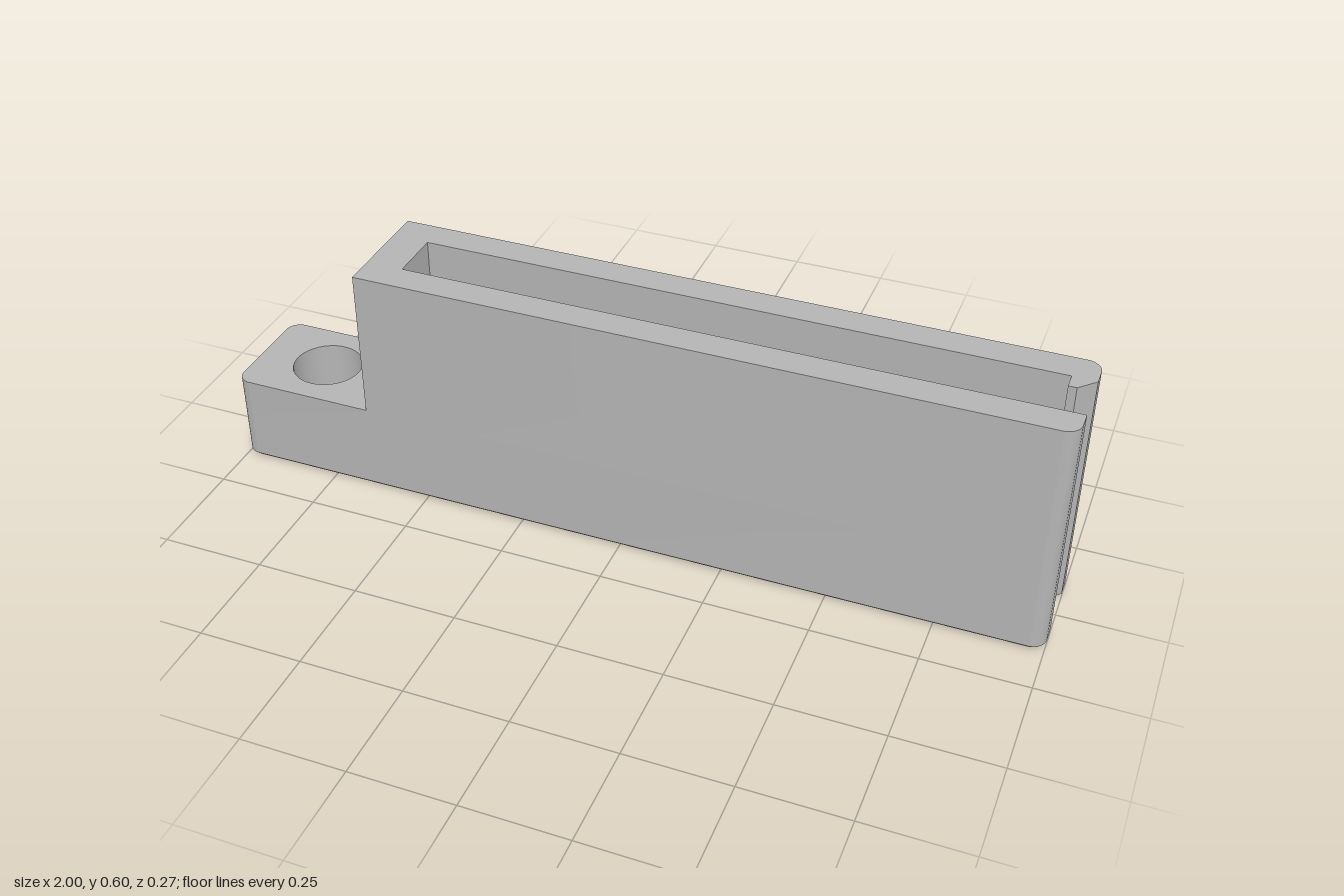
import * as THREE from 'three';
import { mergeGeometries, toCreasedNormals } from 'three/addons/utils/BufferGeometryUtils.js';

const W = 0.137, SLOT = 0.064, TOP = 0.595, TAB = 0.225, STEP = -0.645;
const CHAMFER = 0.012, RADIUS = 0.035;
const HOLE = { x: -0.823, r: 0.085 };

// Outlines are counter-clockwise in (x, -z)
const corner = (sx, sy) => Array.from({ length: 9 }, (_, i) => {
  const a = Math.atan2(sy, sx) + (i / 8 - 0.5) * Math.PI / 2;
  return [sx * (1 - RADIUS) + RADIUS * Math.cos(a), sy * (W - RADIUS) + RADIUS * Math.sin(a)];
});

// Open-ended slot with a small hooked lip on the back arm
const rightEnd = [
  ...corner(1, -1),
  [1, -SLOT], [-0.556, -SLOT], [-0.556, SLOT], [0.944, SLOT],
  [0.944, 0.025], [0.963, 0.025], [1, 0.0625],
  ...corner(1, 1),
];
const leftEnd = [...corner(-1, 1), ...corner(-1, -1)];
const fullOutline = [...rightEnd, ...leftEnd];
const upperOutline = [...rightEnd, [STEP, W], [STEP, -W]];
const tabOutline = [[STEP, -W], [STEP, W], ...leftEnd];
const holeOutline = Array.from({ length: 48 }, (_, i) => {
  const a = -i / 48 * Math.PI * 2;
  return [HOLE.x + HOLE.r * Math.cos(a), HOLE.r * Math.sin(a)];
});

// Move every edge of an outline inward by d
function inset(loop, d) {
  const n = loop.length;
  const normal = (p, q) => {
    const l = Math.hypot(q[0] - p[0], q[1] - p[1]);
    return [-(q[1] - p[1]) / l, (q[0] - p[0]) / l];
  };
  return loop.map((p, i) => {
    const a = normal(loop[(i + n - 1) % n], p), b = normal(p, loop[(i + 1) % n]);
    const k = d / (1 + a[0] * b[0] + a[1] * b[1]);
    return [p[0] + (a[0] + b[0]) * k, p[1] + (a[1] + b[1]) * k];
  });
}

// Wall between two matching outlines at two heights
function wall(low, y0, high, y1) {
  const pos = [];
  low.forEach((p, i) => {
    const j = (i + 1) % low.length;
    const a = [p[0], y0, -p[1]], b = [low[j][0], y0, -low[j][1]];
    const c = [high[j][0], y1, -high[j][1]], d = [high[i][0], y1, -high[i][1]];
    pos.push(...a, ...b, ...c, ...a, ...c, ...d);
  });
  return new THREE.BufferGeometry().setAttribute('position', new THREE.Float32BufferAttribute(pos, 3));
}

// Flat cap facing up (dir 1) or down (dir -1)
function cap(loop, y, dir, hole) {
  const points = (l) => l.map(([x, s]) => new THREE.Vector2(x, s * dir));
  const shape = new THREE.Shape(points(loop));
  if (hole) shape.holes.push(new THREE.Path(points(hole)));
  const g = new THREE.ShapeGeometry(shape).rotateX(-dir * Math.PI / 2).translate(0, y, 0).toNonIndexed();
  g.deleteAttribute('uv');
  g.deleteAttribute('normal');
  return g;
}

export function createModel() {
  const group = new THREE.Group();
  const grey = new THREE.MeshStandardMaterial({ color: 0xb4b4b4 });
  grey.name = 'plainGrey';
  const add = (name, parts) => {
    const mesh = new THREE.Mesh(toCreasedNormals(mergeGeometries(parts), 0.5), grey);
    mesh.name = name;
    group.add(mesh);
  };

  // Base with a chamfered underside, reaching under the mounting tab
  const foot = inset(fullOutline, CHAMFER);
  add('base', [
    cap(foot, 0, -1, holeOutline),
    wall(foot, 0, fullOutline, CHAMFER),
    wall(fullOutline, CHAMFER, fullOutline, TAB),
  ]);

  // Top of the tab and its through hole
  add('mountingTabTop', [cap(tabOutline, TAB, 1, holeOutline)]);
  add('mountingHole', [wall(holeOutline, 0, holeOutline, TAB)]);

  // Tall slotted holder
  add('slottedHolder', [
    wall(upperOutline, TAB, upperOutline, TOP),
    cap(upperOutline, TOP, 1),
  ]);
  return group;
}
